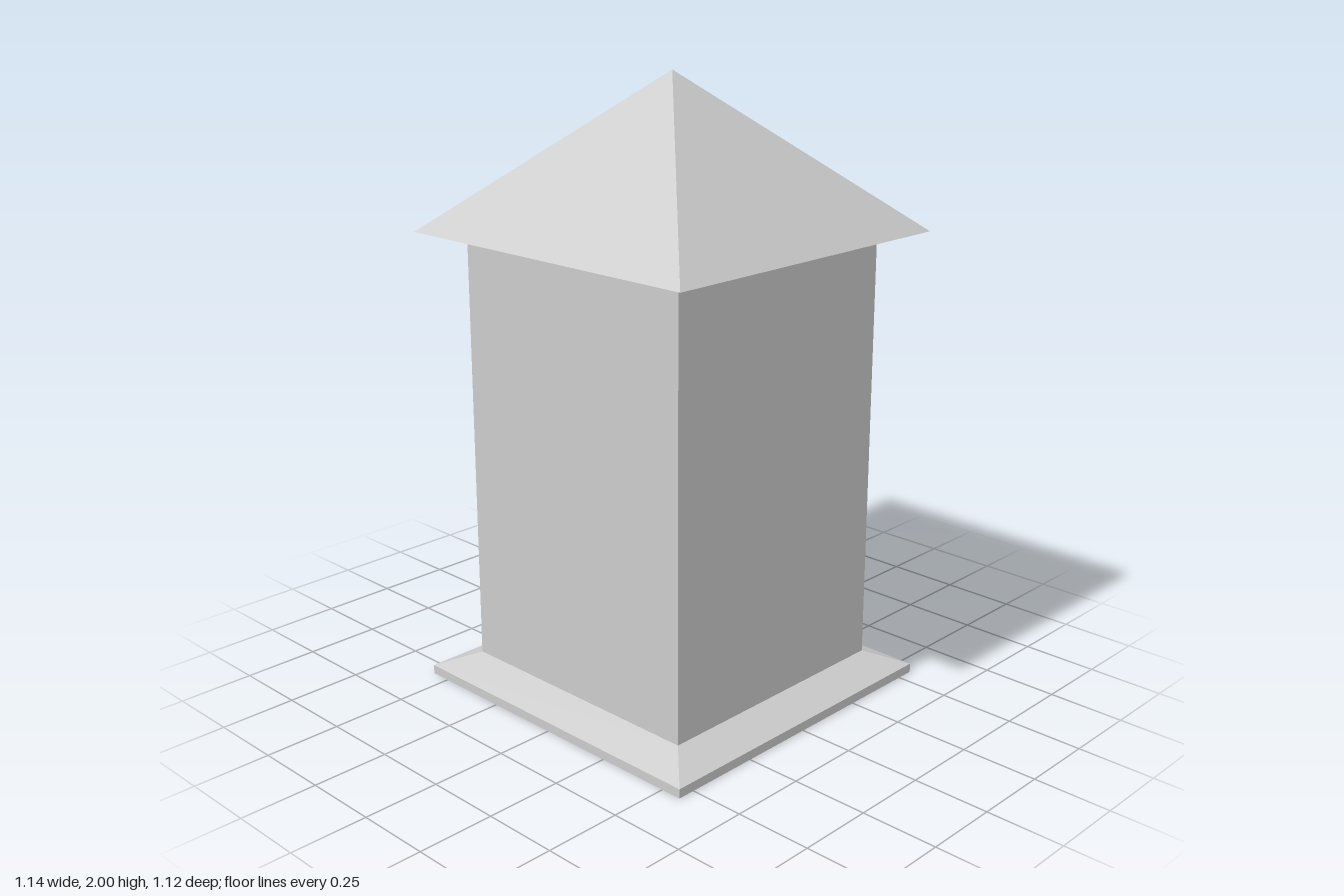
import * as THREE from 'three';

const material = new THREE.MeshStandardMaterial({ color: 0xcccccc, flatShading: true });
const DEPTH_RATIO = 0.98; // slightly shallower than wide

// Four-sided frustum given by half widths at the bottom and top
function frustum(name, halfBottom, halfTop, y0, y1, open = false) {
  const geometry = new THREE.CylinderGeometry(
    halfTop * Math.SQRT2, halfBottom * Math.SQRT2, y1 - y0, 4, 1, open);
  geometry.rotateY(Math.PI / 4);
  geometry.scale(1, 1, DEPTH_RATIO);
  geometry.translate(0, (y0 + y1) / 2, 0);
  const flat = geometry.toNonIndexed();
  flat.computeVertexNormals();
  const mesh = new THREE.Mesh(flat, material);
  mesh.name = name;
  return mesh;
}

export function createModel() {
  const model = new THREE.Group();
  model.name = 'tower';
  const eave = 0.57, wall = 0.453;

  model.add(
    frustum('basePlinth', eave, eave, 0, 0.03),
    frustum('baseSlope', eave, wall, 0.03, 0.08, true),
    frustum('walls', wall, wall, 0.08, 1.505, true),
    frustum('roof', eave, 0, 1.505, 2),
  );
  return model;
}
